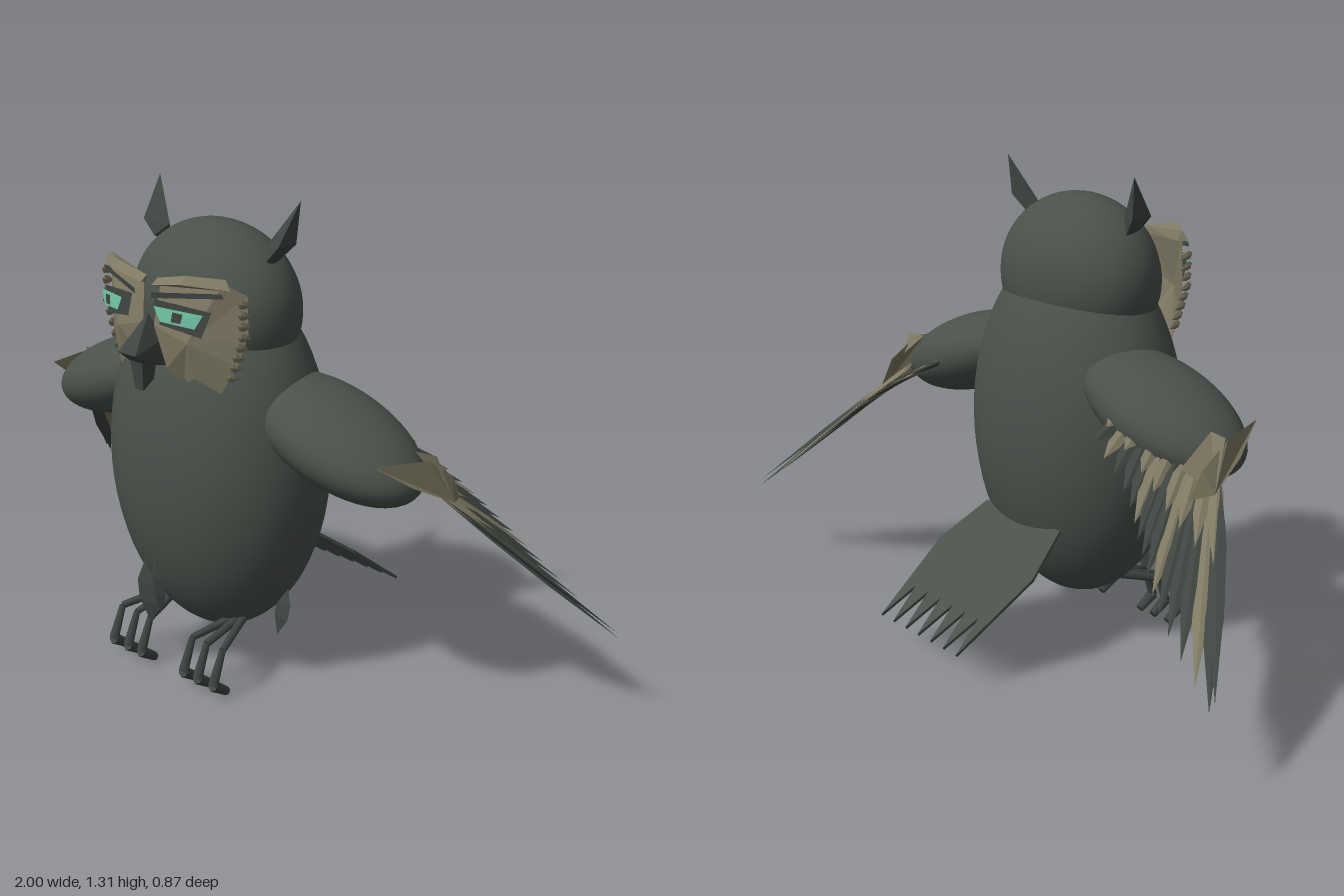
import * as THREE from 'three';
import { ConvexGeometry } from 'three/addons/geometries/ConvexGeometry.js';

const paint = (name, color, extra = {}) => {
  const m = new THREE.MeshStandardMaterial({ color, ...extra });
  m.name = name;
  return m;
};
const V = (x, y, z) => new THREE.Vector3(x, y, z);

export function createModel() {
  const owl = new THREE.Group();
  owl.name = 'owl';
  const plumage = paint('plumage grey', 0x4a514b);
  const dark = paint('dark grey', 0x3f4541, { side: THREE.DoubleSide });
  const tan = paint('tan', 0x807a64, { side: THREE.DoubleSide });
  const teal = paint('teal', 0x70c3a3, { side: THREE.DoubleSide });

  const add = (name, geo, mat, parent = owl) => {
    const mesh = new THREE.Mesh(geo, mat);
    mesh.name = name;
    parent.add(mesh);
    return mesh;
  };
  const ellipsoid = (name, c, r, tilt = 0) => {
    const m = add(name, new THREE.SphereGeometry(1, 48, 32), plumage);
    m.position.set(...c);
    m.scale.set(...r);
    m.rotation.z = tilt;
    return m;
  };
  // Faceted solid around a few points, mirrored by s
  const solid = (name, pts, mat, s = 1, parent = owl) =>
    add(name, new ConvexGeometry(pts.map(p => V(p[0] * s, p[1], p[2]))), mat, parent);
  // Flat-shaded fan of triangles around the first point
  const fan = (name, pts, mat, s = 1, closed = false) => {
    const a = [];
    const n = pts.length - 1;
    for (let i = 1; i <= (closed ? n : n - 1); i++)
      for (const p of [pts[0], pts[i], pts[(i % n) + 1]]) a.push(p[0] * s, p[1], p[2]);
    // Keep the faces pointing to the front
    if (s < 0) for (let i = 0; i < a.length; i += 9)
      for (let k = 3; k < 6; k++) [a[i + k], a[i + k + 3]] = [a[i + k + 3], a[i + k]];
    const g = new THREE.BufferGeometry();
    g.setAttribute('position', new THREE.Float32BufferAttribute(a, 3));
    g.computeVertexNormals();
    return add(name, g, mat);
  };
  // Pointed feather: diamond section at fraction f, half width w along side, half thickness t
  const feather = (name, a, b, side, w, t, f, mat, parent) => {
    const dir = b.clone().sub(a).normalize();
    const u = side.clone().addScaledVector(dir, -side.dot(dir)).normalize();
    const n = dir.clone().cross(u);
    const pts = [a, b];
    for (const q of [f, f + 0.3]) {
      const m = a.clone().lerp(b, q);
      for (const k of [-1, 1]) {
        pts.push(m.clone().addScaledVector(u, w * k));
        pts.push(m.clone().addScaledVector(n, t * k));
      }
    }
    return add(name, new ConvexGeometry(pts), mat, parent);
  };
  // Thin faceted limb between two points
  const bone = (name, a, b, r1, r2, parent) => {
    const d = b.clone().sub(a);
    const m = add(name, new THREE.CylinderGeometry(r2, r1, d.length(), 6), dark, parent);
    m.position.copy(a).addScaledVector(d, 0.5);
    m.quaternion.setFromUnitVectors(V(0, 1, 0), d.normalize());
  };

  // Body and head
  ellipsoid('body', [0, 0.605, 0.115], [0.335, 0.5, 0.255]);
  ellipsoid('head', [0, 1.01, 0.122], [0.258, 0.225, 0.185]);

  // Beak
  solid('beak', [[-0.03, 0.96, 0.34], [0.03, 0.96, 0.34], [0, 1.03, 0.36], [-0.033, 0.935, 0.435],
    [0.033, 0.935, 0.435], [-0.025, 0.905, 0.4], [0.025, 0.905, 0.4], [-0.03, 0.89, 0.33], [0.03, 0.89, 0.33]], dark);
  solid('beakHook', [[-0.025, 0.92, 0.405], [0.025, 0.92, 0.405], [-0.025, 0.9, 0.36], [0.025, 0.9, 0.36],
    [-0.015, 0.832, 0.395], [0.015, 0.832, 0.395], [0, 0.85, 0.345]], dark);

  for (const s of [1, -1]) {
    const label = s > 0 ? 'left' : 'right';

    // Ear tuft
    solid(label + 'Ear', [[0.195, 1.14, 0.11], [0.18, 1.19, 0.12], [0.25, 1.2, 0.15],
      [0.25, 1.2, 0.085], [0.21, 1.16, 0.15], [0.26, 1.31, 0.08]], dark, s);

    // Face mask
    fan(label + 'Mask', [[0.13, 0.97, 0.35], [0.02, 1.0, 0.36], [0.05, 0.89, 0.345], [0.08, 0.845, 0.315],
      [0.13, 0.875, 0.325], [0.19, 0.84, 0.29], [0.235, 0.92, 0.275], [0.258, 1.0, 0.26],
      [0.255, 1.1, 0.26], [0.21, 1.13, 0.3], [0.03, 1.1, 0.345]], tan, s, true);
    for (let i = 0; i < 8; i++) {
      const y = 0.89 + i * 0.028;
      const x = 0.215 + Math.min(i, 4) * 0.01;
      feather(label + 'MaskFringe', V(s * x, y, 0.295), V(s * (x + 0.005), y - 0.012, 0.25),
        V(0, 1, 0), 0.011, 0.004, 0.2, tan);
    }

    // Brow with a dark line under it
    solid(label + 'Brow', [[0.02, 1.105, 0.365], [0.02, 1.12, 0.345], [0.13, 1.125, 0.37], [0.13, 1.145, 0.35],
      [0.235, 1.115, 0.3], [0.215, 1.14, 0.295], [0.03, 1.1, 0.34], [0.2, 1.11, 0.29]], tan, s);
    fan(label + 'BrowLine', [[0.03, 1.075, 0.376], [0.225, 1.096, 0.312], [0.22, 1.108, 0.314],
      [0.03, 1.09, 0.378]], dark, s);

    // Eye: dark socket, teal iris in two facets, dark pupil
    fan(label + 'EyeSocket', [[0.06, 1.012, 0.375], [0.175, 0.992, 0.342], [0.2, 1.06, 0.33],
      [0.04, 1.075, 0.377]], dark, s);
    fan(label + 'Iris', [[0.08, 1.027, 0.393], [0.17, 1.018, 0.36], [0.19, 1.055, 0.35],
      [0.06, 1.064, 0.395]], teal, s);
    fan(label + 'Pupil', [[0.115, 1.032, 0.388], [0.14, 1.03, 0.379], [0.145, 1.054, 0.376],
      [0.118, 1.057, 0.385]], dark, s);

    // Wing shoulder
    ellipsoid(label + 'Shoulder', [s * 0.39, 0.725, 0.075], [0.272, 0.11, 0.167], -s * 0.35);

    // Flight feathers fanned along a curve of tips
    const wing = new THREE.Group();
    wing.name = label + 'WingFeathers';
    owl.add(wing);
    const roots = new THREE.CatmullRomCurve3([V(0.36, 0.73, -0.03), V(0.5, 0.68, -0.03), V(0.59, 0.66, 0), V(0.63, 0.665, 0.04)]);
    const tips = new THREE.CatmullRomCurve3([V(0.4, 0.69, -0.17), V(0.56, 0.59, -0.2), V(0.67, 0.49, -0.25),
      V(0.8, 0.37, -0.3), V(0.995, 0.23, -0.335)]);
    const flip = p => V(p.x * s, p.y, p.z);
    const count = 15;
    for (let i = 0; i < count; i++) {
      const t = i / (count - 1);
      const a = flip(roots.getPoint(t)), b = flip(tips.getPoint(t));
      feather('flightFeather', a, b, flip(tips.getTangent(t)), 0.016 + 0.01 * t, 0.006, 0.35,
        i % 4 === 1 ? tan : dark, wing);
      // Short tan coverts over the roots
      if (i % 2 === 0) {
        const c = a.clone().lerp(b, 0.55 - 0.1 * t).add(V(0, 0.008, -0.006));
        feather('covert', a, c, flip(tips.getTangent(t)), 0.017, 0.005, 0.35, tan, wing);
      }
    }
    // The leading feather, just above the fan
    feather('leadingFeather', V(s * 0.64, 0.655, 0.03), V(s * 1, 0.25, -0.322), V(s, 0, 0.5), 0.02, 0.006, 0.3, dark, wing);

    // Tan plates over the wing bend
    fan(label + 'WingBend', [[0.69, 0.6, -0.03], [0.66, 0.59, -0.09], [0.665, 0.66, -0.05], [0.66, 0.72, 0.04],
      [0.61, 0.73, 0.19], [0.655, 0.66, 0.09]], tan, s, true);
    fan(label + 'WingBendTop', [[0.61, 0.73, 0.03], [0.67, 0.73, 0.02], [0.69, 0.6, -0.03], [0.62, 0.66, -0.08]], tan, s);

    // Foot: three jointed toes
    const foot = new THREE.Group();
    foot.name = label + 'Foot';
    owl.add(foot);
    for (const x of [0.085, 0.14, 0.2]) {
      const p = [V(s * (0.11 + x * 0.15), 0.17, 0.16), V(s * x, 0.135, 0.3), V(s * x, 0.045, 0.335), V(s * x, 0.012, 0.285)];
      bone('upperToe', p[0], p[1], 0.013, 0.01, foot);
      bone('lowerToe', p[1], p[2], 0.009, 0.014, foot);
      bone('claw', p[2], p[3], 0.016, 0.012, foot);
    }
  }

  // Loose leg feathers
  const shard = (name, a, b, side, w, mat = dark) => feather(name, V(...a), V(...b), V(...side), w, 0.012, 0.35, mat);
  shard('legFeather', [-0.09, 0.31, 0.31], [-0.08, 0.12, 0.3], [1, 0, 0], 0.04);
  shard('legFeather', [-0.01, 0.355, 0.34], [-0.03, 0.17, 0.31], [1, 0, 0], 0.025);
  shard('hipFeather', [0.235, 0.27, 0.09], [0.225, 0.13, 0.12], [1, 0, 0.2], 0.03);
  shard('underTailFeather', [0.07, 0.2, 0.0], [0.08, 0.115, 0.005], [1, 0, 0], 0.025, tan);

  // Tail: flat plate with seven pointed tips
  const outline = new THREE.Shape();
  outline.moveTo(-0.16, 0);
  outline.lineTo(-0.205, 0.16);
  for (let i = 0; i < 7; i++) {
    const x = -0.171 + i * 0.057;
    outline.lineTo(x, 0.44);
    if (i < 6) outline.lineTo(x + 0.0285, 0.32);
  }
  outline.lineTo(0.205, 0.16);
  outline.lineTo(0.16, 0);
  const tail = add('tail', new THREE.ExtrudeGeometry(outline, { depth: 0.008, bevelEnabled: false }), plumage);
  tail.position.set(0, 0.355, -0.075);
  tail.rotation.x = -Math.PI / 2 - 0.616;
  return owl;
}
